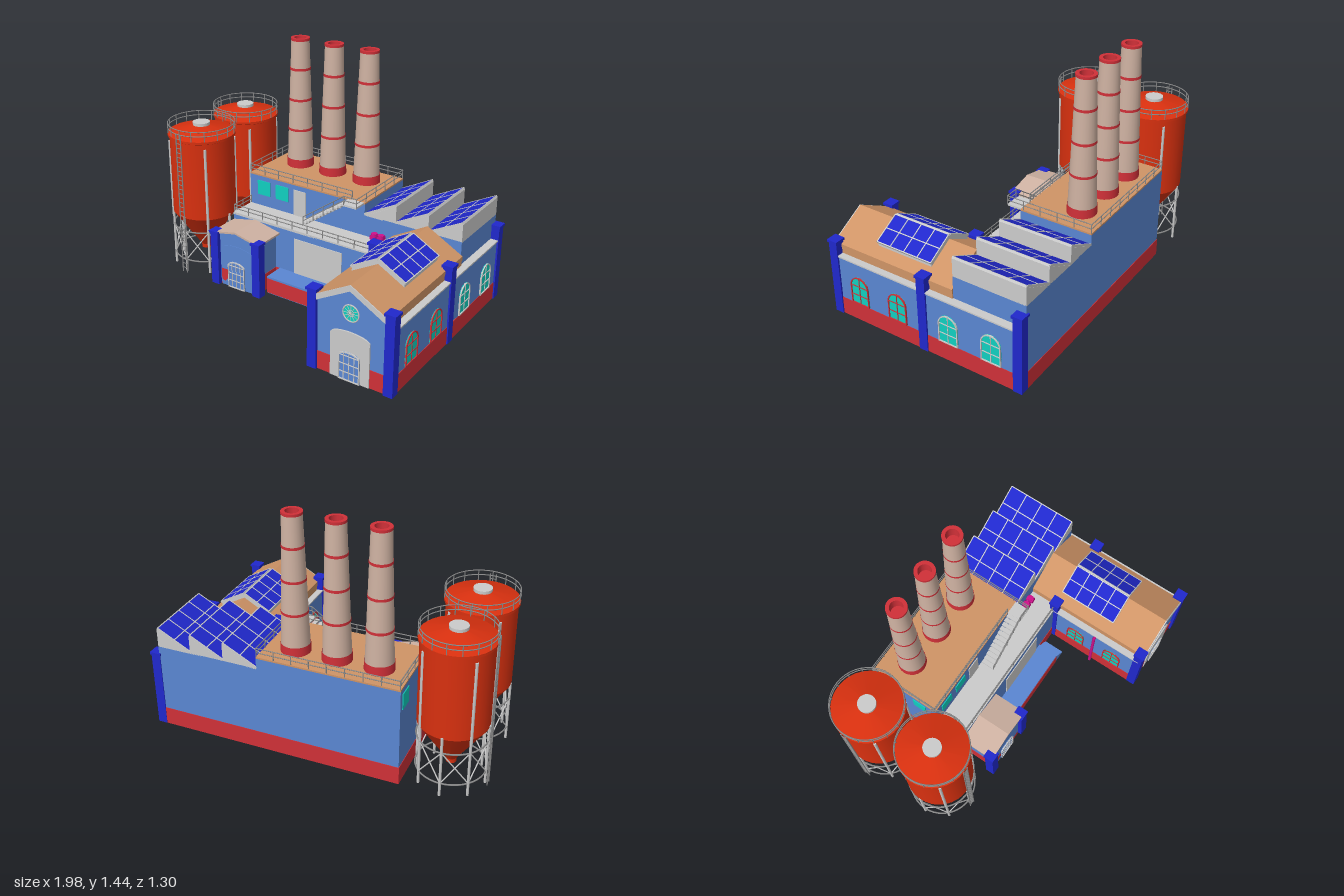
import * as THREE from 'three';
import { toCreasedNormals } from 'three/addons/utils/BufferGeometryUtils.js';

const C = { grey: 0xcccccc, blue: 0x5a86d2, navy: 0x2028cc, red: 0xd03038, orange: 0xcf9466, silo: 0xd8300f,
  teal: 0x10d0c0, tan: 0xcfb2a2, pink: 0xd0108c, steel: 0x8c8c8c };
const mats = {};
const mat = (c) => (mats[c] ??= new THREE.MeshStandardMaterial({ color: C[c], side: THREE.DoubleSide }));
const V = (x, y, z) => new THREE.Vector3(x, y, z);

function add(parent, name, geo, color) {
  const m = new THREE.Mesh(geo, mat(color));
  m.name = name;
  parent.add(m);
  return m;
}
function group(parent, name, x = 0, y = 0, z = 0) {
  const g = new THREE.Group();
  g.name = name;
  g.position.set(x, y, z);
  parent.add(g);
  return g;
}
// Box given by its limits
function box(p, name, color, x0, x1, y0, y1, z0, z1) {
  const m = add(p, name, new THREE.BoxGeometry(x1 - x0, y1 - y0, z1 - z0), color);
  m.position.set((x0 + x1) / 2, (y0 + y1) / 2, (z0 + z1) / 2);
  return m;
}
// Round bar between two points
function bar(p, name, color, a, b, r = 0.003) {
  const m = add(p, name, new THREE.CylinderGeometry(r, r, a.distanceTo(b), 6), color);
  m.position.copy(a).add(b).multiplyScalar(0.5);
  m.quaternion.setFromUnitVectors(V(0, 1, 0), b.clone().sub(a).normalize());
}
// Polygon in x,y extruded from z0 to z1
function prism(p, name, color, pts, z0, z1) {
  const s = new THREE.Shape(pts.map(([x, y]) => new THREE.Vector2(x, y)));
  const m = add(p, name, new THREE.ExtrudeGeometry(s, { depth: z1 - z0, bevelEnabled: false }), color);
  m.position.z = z0;
}
function archPath(P, w, h, rise, y0 = 0) {
  const s = new P();
  s.moveTo(-w / 2, y0);
  s.lineTo(w / 2, y0);
  s.lineTo(w / 2, h - rise);
  s.absellipse(0, h - rise, w / 2, rise, 0, Math.PI, false, 0);
  s.lineTo(-w / 2, y0);
  return s;
}
// Flat arched panel facing +z
function archPanel(p, name, color, w, h, rise, depth) {
  return add(p, name, new THREE.ExtrudeGeometry(archPath(THREE.Shape, w, h, rise), { depth, bevelEnabled: false, curveSegments: 12 }), color);
}
// Arched window or door with frame and glazing bars
function archWindow(p, name, x, y, z, ry, w, h, rise, pane, frame, cols, rows) {
  const g = group(p, name, x, y, z);
  g.rotation.y = ry;
  archPanel(g, 'pane', pane, w, h, rise, 0.004);
  const t = 0.006, s = archPath(THREE.Shape, w, h, rise);
  s.holes.push(archPath(THREE.Path, w - 2 * t, h - t, rise - t / 2, t));
  add(g, 'frame', new THREE.ExtrudeGeometry(s, { depth: 0.01, bevelEnabled: false, curveSegments: 12 }), frame);
  for (let i = 1; i < cols; i++) {
    const bx = -w / 2 + (w * i) / cols;
    const top = h - rise + rise * Math.sqrt(1 - (2 * bx / w) ** 2);
    box(g, 'upright', frame, bx - 0.002, bx + 0.002, 0, top, 0, 0.008);
  }
  for (let i = 1; i <= rows; i++) {
    const by = ((h - rise) * i) / rows;
    box(g, 'crossbar', frame, -w / 2, w / 2, by - 0.002, by + 0.002, 0, 0.008);
  }
}
// Railing along a polyline
function railing(p, name, pts, h = 0.055, gap = 0.11) {
  const g = group(p, name);
  for (let i = 0; i + 1 < pts.length; i++) {
    const [a, b] = [pts[i], pts[i + 1]], n = Math.max(1, Math.round(a.distanceTo(b) / gap));
    for (const k of [0.5, 1]) bar(g, 'rail', 'steel', a.clone().add(V(0, h * k, 0)), b.clone().add(V(0, h * k, 0)));
    for (let j = 0; j <= n; j++) {
      const q = a.clone().lerp(b, j / n);
      bar(g, 'post', 'steel', q, q.clone().add(V(0, h, 0)));
    }
  }
}
// Solar panel lying on a slope, centred at its own origin
function solar(p, x, y, z, tilt, w, d, nx, nz) {
  const g = group(p, 'solarPanel', x, y, z);
  g.rotation.z = tilt;
  box(g, 'cells', 'navy', -w / 2, w / 2, 0, 0.012, -d / 2, d / 2);
  for (let i = 0; i <= nx; i++) { const u = -w / 2 + w * i / nx; box(g, 'divider', 'grey', u - 0.003, u + 0.003, 0, 0.014, -d / 2, d / 2); }
  for (let i = 0; i <= nz; i++) { const u = -d / 2 + d * i / nz; box(g, 'divider', 'grey', -w / 2, w / 2, 0, 0.014, u - 0.003, u + 0.003); }
}
function pillar(p, x, z, h) {
  const g = group(p, 'cornerPillar', x, 0, z);
  box(g, 'shaft', 'navy', -0.028, 0.028, 0, h - 0.01, -0.028, 0.028);
  box(g, 'cap', 'navy', -0.034, 0.034, h - 0.015, h, -0.034, 0.034);
}
function ladder(p, x, z, along) {
  const g = group(p, 'ladder'), d = along === 'x' ? V(0.017, 0, 0) : V(0, 0, 0.017);
  const at = (y, s) => V(x, y, z).addScaledVector(d, s);
  for (const s of [-1, 1]) bar(g, 'stringer', 'steel', at(0, s), at(0.93, s), 0.004);
  for (let y = 0.03; y < 0.93; y += 0.03) bar(g, 'rung', 'steel', at(y, -1), at(y, 1), 0.0025);
}
function silo(p, x, z) {
  const g = group(p, 'silo', x, 0, z);
  const pts = [[0.03, 0.12], [0.2, 0.37], [0.2, 0.87], [0.21, 0.875], [0.21, 0.89], [0.05, 0.935]].map(([r, y]) => new THREE.Vector2(r, y));
  add(g, 'tank', toCreasedNormals(new THREE.LatheGeometry(pts, 32), 0.4), 'silo');
  add(g, 'topHatch', new THREE.CylinderGeometry(0.053, 0.053, 0.025, 24), 'grey').position.y = 0.94;
  add(g, 'outlet', new THREE.CylinderGeometry(0.03, 0.03, 0.03, 16), 'silo').position.y = 0.11;
  const ring = (name, r, y, t) => { const m = add(g, name, new THREE.TorusGeometry(r, t, 6, 40), 'steel'); m.rotation.x = Math.PI / 2; m.position.y = y; };
  ring('railRing', 0.207, 0.925, 0.003);
  ring('railRing', 0.207, 0.953, 0.003);
  ring('legRing', 0.198, 0.28, 0.005);
  ring('legRing', 0.198, 0.08, 0.005);
  const at = (a, r, y) => V(Math.cos(a) * r, y, Math.sin(a) * r);
  for (let i = 0; i < 16; i++) bar(g, 'railPost', 'steel', at(i * Math.PI / 8, 0.207, 0.88), at(i * Math.PI / 8, 0.207, 0.953));
  for (let i = 0; i < 8; i++) {
    const a = i * Math.PI / 4, b = a + Math.PI / 4;
    bar(g, 'leg', 'grey', at(a, 0.198, 0), at(a, 0.198, 0.38), 0.008);
    bar(g, 'brace', 'grey', at(a, 0.198, 0.08), at(b, 0.198, 0.28), 0.004);
    bar(g, 'brace', 'grey', at(b, 0.198, 0.08), at(a, 0.198, 0.28), 0.004);
    if (i % 2) bar(g, 'rib', 'grey', at(a, 0.2, 0.34), at(a, 0.2, 0.84), 0.009);
  }
}
function chimney(p, x, z) {
  const g = group(p, 'chimney', x, 0, z);
  const radius = (y) => 0.083 - 0.027 * (y - 0.61) / 0.83;
  const tube = (name, color, y0, y1, extra) => {
    const m = add(g, name, new THREE.CylinderGeometry(radius(y1) + extra, radius(y0) + extra, y1 - y0, 24, 1, true), color);
    m.position.y = (y0 + y1) / 2;
  };
  tube('stack', 'tan', 0.61, 1.44, 0);
  tube('base', 'red', 0.61, 0.665, 0.003);
  for (const y of [0.86, 1.055, 1.25]) tube('band', 'red', y - 0.008, y + 0.008, 0.002);
  const rim = [[0.038, 1.37], [0.038, 1.442], [0.059, 1.442], [0.059, 1.427]].map(([r, y]) => new THREE.Vector2(r, y));
  add(g, 'rim', toCreasedNormals(new THREE.LatheGeometry(rim, 24), 0.5), 'red');
  const floor = add(g, 'flueFloor', new THREE.CircleGeometry(0.04, 24), 'red');
  floor.rotation.x = -Math.PI / 2;
  floor.position.y = 1.37;
}
// Pitched roof slab with its ridge along z
const chevron = (x0, x1, eave, ridge, t) => {
  const m = (x0 + x1) / 2;
  return [[x0, eave], [x0, eave - t], [m, ridge - t], [x1, eave - t], [x1, eave], [m, ridge]];
};

export function createModel() {
  const root = new THREE.Group();
  root.name = 'factory';

  // Silos
  for (const z of [0, -0.44]) silo(root, -0.77, z);
  ladder(root, -0.77, 0.217, 'x');
  ladder(root, -0.985, -0.44, 'z');

  // Tall rear hall with chimneys
  const hall = group(root, 'rearHall');
  box(hall, 'walls', 'blue', -0.535, 0.31, 0.11, 0.6, -0.635, -0.18);
  box(hall, 'roof', 'orange', -0.535, 0.31, 0.6, 0.61, -0.635, -0.18);
  box(hall, 'plinth', 'red', -0.538, 0.983, 0, 0.11, -0.638, -0.18);
  for (const x of [-0.355, -0.108, 0.14]) chimney(hall, x, -0.475);
  for (const x of [-0.428, -0.288]) box(hall, 'window', 'teal', x - 0.048, x + 0.048, 0.475, 0.57, -0.18, -0.175);
  box(hall, 'door', 'grey', -0.2, -0.11, 0.4, 0.57, -0.18, -0.175);
  for (const z of [-0.56, -0.3]) box(hall, 'sideWindow', 'teal', -0.54, -0.535, 0.47, 0.57, z - 0.045, z + 0.045);
  railing(hall, 'roofRailing', [V(0.22, 0.61, -0.183), V(-0.532, 0.61, -0.183), V(-0.532, 0.61, -0.632), V(0.307, 0.61, -0.632), V(0.307, 0.61, -0.09), V(0.22, 0.61, -0.09)]);

  // Front hall with terrace, shutter and outdoor stair
  const front = group(root, 'frontHall');
  box(front, 'terrace', 'grey', -0.535, 0.5, 0.385, 0.4, -0.18, 0);
  box(front, 'wall', 'blue', -0.535, 0.48, 0.11, 0.39, -0.015, 0);
  box(front, 'plinth', 'red', -0.538, 0.48, 0, 0.11, -0.015, 0.003);
  box(front, 'sideWall', 'blue', -0.535, -0.52, 0.11, 0.39, -0.18, 0);
  box(front, 'sidePlinth', 'red', -0.538, -0.52, 0, 0.11, -0.18, 0);
  box(front, 'shutter', 'grey', -0.07, 0.27, 0.11, 0.345, 0, 0.005);
  railing(front, 'terraceRailing', [V(-0.532, 0.4, -0.18), V(-0.532, 0.4, -0.005), V(0.46, 0.4, -0.005)], 0.05);
  for (let i = 0; i < 12; i++) {
    const x = -0.075 + i * 0.0246, y = 0.4 + (i + 1) * 0.0175;
    box(front, 'stairTread', 'grey', x, x + 0.025, y - 0.012, y, -0.175, -0.092);
  }
  box(front, 'stairLanding', 'grey', 0.22, 0.305, 0.6, 0.612, -0.18, -0.09);
  railing(front, 'stairRailing', [V(-0.07, 0.4, -0.09), V(0.22, 0.61, -0.09)], 0.055, 0.08);
  for (const x of [0.392, 0.438]) {
    bar(front, 'ventPipe', 'pink', V(x, 0.395, -0.158), V(x, 0.445, -0.158), 0.02);
    bar(front, 'ventMouth', 'pink', V(x, 0.425, -0.18), V(x, 0.425, -0.135), 0.02);
  }

  // Loading dock and steps
  box(front, 'dockTop', 'blue', -0.18, 0.315, 0.1, 0.112, 0, 0.135);
  box(front, 'dockBody', 'red', -0.18, 0.315, 0.004, 0.1, 0, 0.137);
  box(front, 'dockBottom', 'blue', -0.18, 0.315, 0, 0.004, 0, 0.135);
  for (let i = 0; i < 5; i++) box(front, 'dockStep', 'blue', 0.315 + i * 0.015, 0.33 + i * 0.015, 0, 0.092 - i * 0.019, 0, 0.135);

  // Entrance porch
  const porch = group(root, 'porch');
  prism(porch, 'frontWall', 'blue', [[-0.5, 0], [-0.215, 0], [-0.215, 0.35], [-0.3575, 0.38], [-0.5, 0.35]], 0.185, 0.197);
  for (const x of [-0.505, -0.222]) {
    box(porch, 'sideWall', 'blue', x, x + 0.012, 0.11, 0.35, 0, 0.19);
    box(porch, 'sidePlinth', 'red', x - 0.002, x + 0.014, 0, 0.11, 0, 0.19);
  }
  box(porch, 'frontPlinth', 'red', -0.48, -0.235, 0, 0.11, 0.19, 0.2);
  prism(porch, 'roof', 'tan', chevron(-0.535, -0.18, 0.352, 0.39, 0.012), 0, 0.215);
  archPanel(porch, 'doorSurround', 'blue', 0.24, 0.285, 0.035, 0.006).position.set(-0.3575, 0, 0.194);
  archWindow(porch, 'door', -0.362, 0, 0.2, 0, 0.125, 0.18, 0.03, 'blue', 'grey', 4, 3);
  for (const x of [-0.515, -0.2]) pillar(porch, x, 0.195, 0.36);

  // Sawtooth hall with solar roof
  const saw = group(root, 'sawtoothHall');
  box(saw, 'upperWalls', 'blue', 0.31, 0.94, 0.11, 0.535, -0.635, -0.18);
  box(saw, 'lowerWall', 'blue', 0.94, 0.98, 0.11, 0.385, -0.635, -0.18);
  for (let i = 0; i < 3; i++) {
    const x = 0.31 + i * 0.21;
    prism(saw, 'roofTooth', 'grey', [[x, 0.53], [x + 0.21, 0.53], [x + 0.21, 0.64]], -0.635, -0.18);
    solar(saw, x + 0.105, 0.586, -0.4075, Math.atan2(0.11, 0.21), 0.235, 0.45, 2, 4);
  }

  // Gabled wing
  const wing = group(root, 'gabledWing');
  prism(wing, 'frontWall', 'blue', [[0.48, 0], [0.98, 0], [0.98, 0.39], [0.945, 0.39], [0.945, 0.44], [0.725, 0.56], [0.505, 0.44], [0.505, 0.39], [0.48, 0.39]], 0.61, 0.625);
  for (const [x0, x1] of [[0.5, 0.605], [0.845, 0.95]]) box(wing, 'frontPlinth', 'red', x0, x1, 0, 0.11, 0.62, 0.629);
  for (const s of [-1, 1]) {
    const wall = 0.725 + s * 0.255, span = (a, b) => [0.725 + s * a, 0.725 + s * b].sort((p, q) => p - q), zBack = s < 0 ? 0 : -0.18;
    box(wing, 'sideWall', 'blue', ...span(0.245, 0.255), 0.11, 0.385, zBack, 0.62);
    box(wing, 'sidePlinth', 'red', ...span(0.245, 0.258), 0, 0.11, zBack, 0.62);
    box(wing, 'ledge', 'grey', ...span(0.21, 0.262), 0.383, 0.392, s < 0 ? -0.18 : -0.635, 0.62);
    box(wing, 'roofSide', 'orange', ...span(0.212, 0.222), 0.39, 0.45, -0.18, 0.625);
    for (const z of s > 0 ? [0.445, 0.175, -0.17, -0.445] : [0.445, 0.175])
      archWindow(wing, 'archedWindow', wall, 0.115, z, s * Math.PI / 2, 0.125, 0.18, 0.06, 'teal', z > 0 ? 'red' : 'grey', 2, 2);
    solar(wing, 0.725 + s * 0.081, 0.55, 0.185, -s * Math.atan2(0.125, 0.225), 0.185, 0.37, 2, 4);
  }
  prism(wing, 'roof', 'orange', chevron(0.5, 0.95, 0.45, 0.575, 0.03), -0.18, 0.636);
  prism(wing, 'gableTrim', 'grey', chevron(0.5, 0.95, 0.449, 0.574, 0.035), 0.62, 0.642);
  prism(wing, 'solarStand', 'grey', chevron(0.565, 0.885, 0.508, 0.597, 0.04), 0.002, 0.368);
  archPanel(wing, 'doorSurround', 'grey', 0.24, 0.295, 0.035, 0.014).position.set(0.725, 0, 0.62);
  archWindow(wing, 'door', 0.725, 0, 0.632, 0, 0.13, 0.175, 0.025, 'blue', 'grey', 4, 3);

  // Round gable window
  const rose = group(wing, 'roundWindow', 0.725, 0.405, 0.628);
  add(rose, 'glass', new THREE.CircleGeometry(0.048, 32), 'teal');
  add(rose, 'frame', new THREE.TorusGeometry(0.048, 0.004, 6, 32), 'grey');
  add(rose, 'hub', new THREE.TorusGeometry(0.018, 0.002, 6, 20), 'grey');
  for (let i = 0; i < 6; i++) {
    const a = i * Math.PI / 6, d = V(Math.cos(a) * 0.048, Math.sin(a) * 0.048, 0);
    bar(rose, 'spoke', 'grey', d, d.clone().negate(), 0.002);
  }
  bar(wing, 'downpipe', 'pink', V(0.452, 0, 0.31), V(0.452, 0.38, 0.31), 0.01);
  bar(wing, 'downpipeElbow', 'pink', V(0.445, 0.38, 0.31), V(0.51, 0.38, 0.31), 0.01);
  for (const [x, z] of [[0.492, 0.615], [0.962, 0.615], [0.492, 0], [0.962, 0], [0.962, -0.612]]) pillar(wing, x, z, 0.485);

  return root;
}
